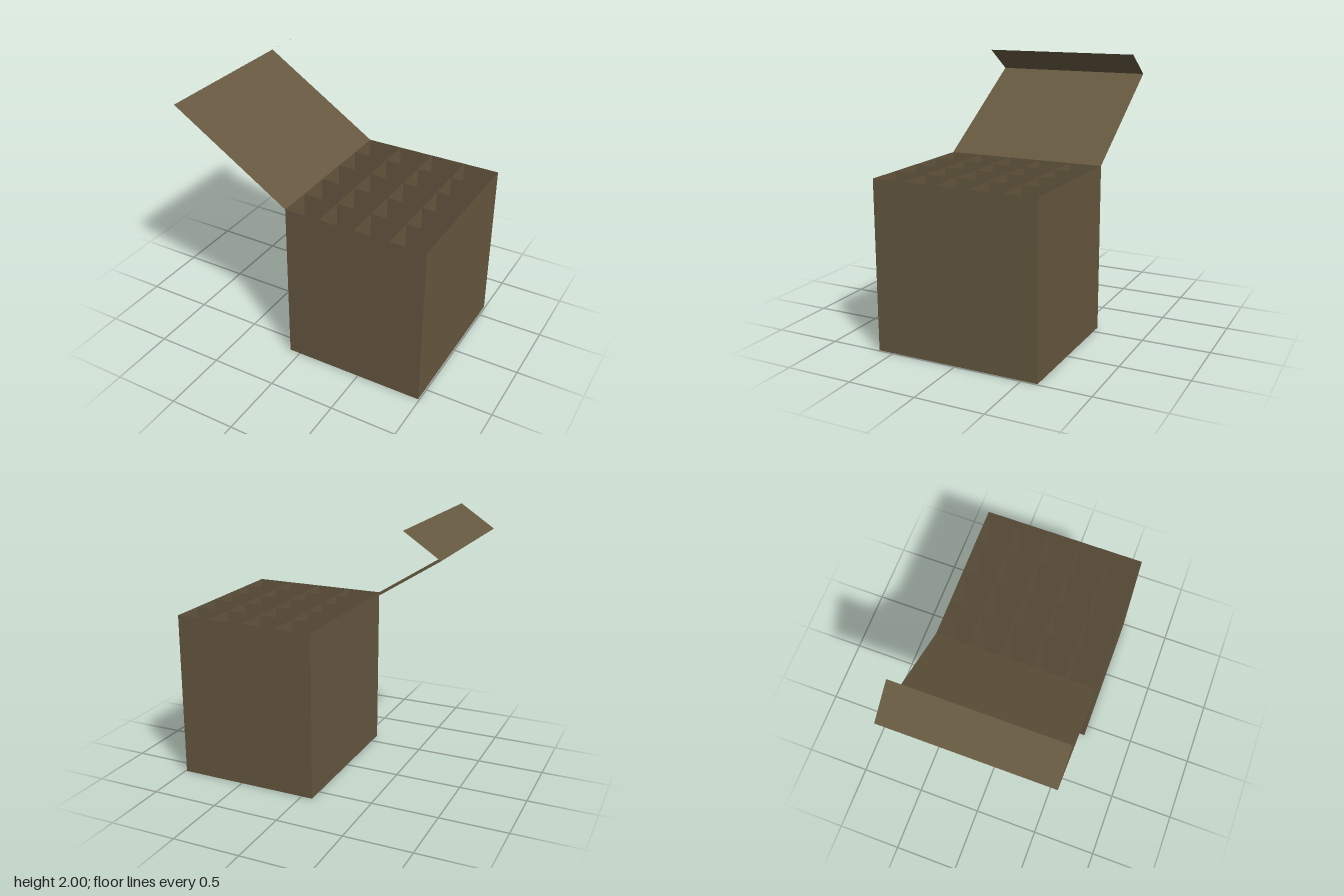
import * as THREE from 'three';

export function createModel() {
  const group = new THREE.Group();
  const card = new THREE.MeshStandardMaterial({ color: 0x665840, side: THREE.DoubleSide });

  // Box extents
  const x0 = -0.085, x1 = 0.99, depth = 1.235, height = 1.247;
  const width = x1 - x0, midX = (x0 + x1) / 2;

  function panel(name, w, h, x, y, z, rx = 0, ry = 0) {
    const mesh = new THREE.Mesh(new THREE.PlaneGeometry(w, h), card);
    mesh.name = name;
    mesh.position.set(x, y, z);
    mesh.rotation.set(rx, ry, 0);
    group.add(mesh);
  }

  // Floor and outer walls
  panel('floor', width, depth, midX, 0, 0, Math.PI / 2);
  panel('frontWall', width, height, midX, height / 2, depth / 2);
  panel('backWall', width, height, midX, height / 2, -depth / 2, 0, Math.PI);
  panel('leftWall', depth, height, x1, height / 2, 0, 0, Math.PI / 2);
  panel('rightWall', depth, height, x0, height / 2, 0, 0, -Math.PI / 2);

  // Crossing dividers: 4 by 5 cells
  const columns = 4, rows = 5;
  for (let i = 1; i < columns; i++)
    panel('lengthDivider', depth, height, x0 + width * i / columns, height / 2, 0, 0, Math.PI / 2);
  for (let i = 1; i < rows; i++)
    panel('crossDivider', width, height, midX, height / 2, -depth / 2 + depth * i / rows);

  // Open lid and its tuck flap, each a sheet between two edges
  function sheet(name, ax, ay, bx, by) {
    const geometry = new THREE.PlaneGeometry(Math.hypot(bx - ax, by - ay), depth);
    geometry.rotateX(-Math.PI / 2);
    const mesh = new THREE.Mesh(geometry, card);
    mesh.name = name;
    mesh.position.set((ax + bx) / 2, (ay + by) / 2, 0);
    mesh.rotation.z = Math.atan2(by - ay, bx - ax);
    group.add(mesh);
  }
  sheet('lid', -0.99, 1.83, x0, height);
  sheet('lidFlap', -0.99, 1.83, -0.735, 2);

  return group;
}
